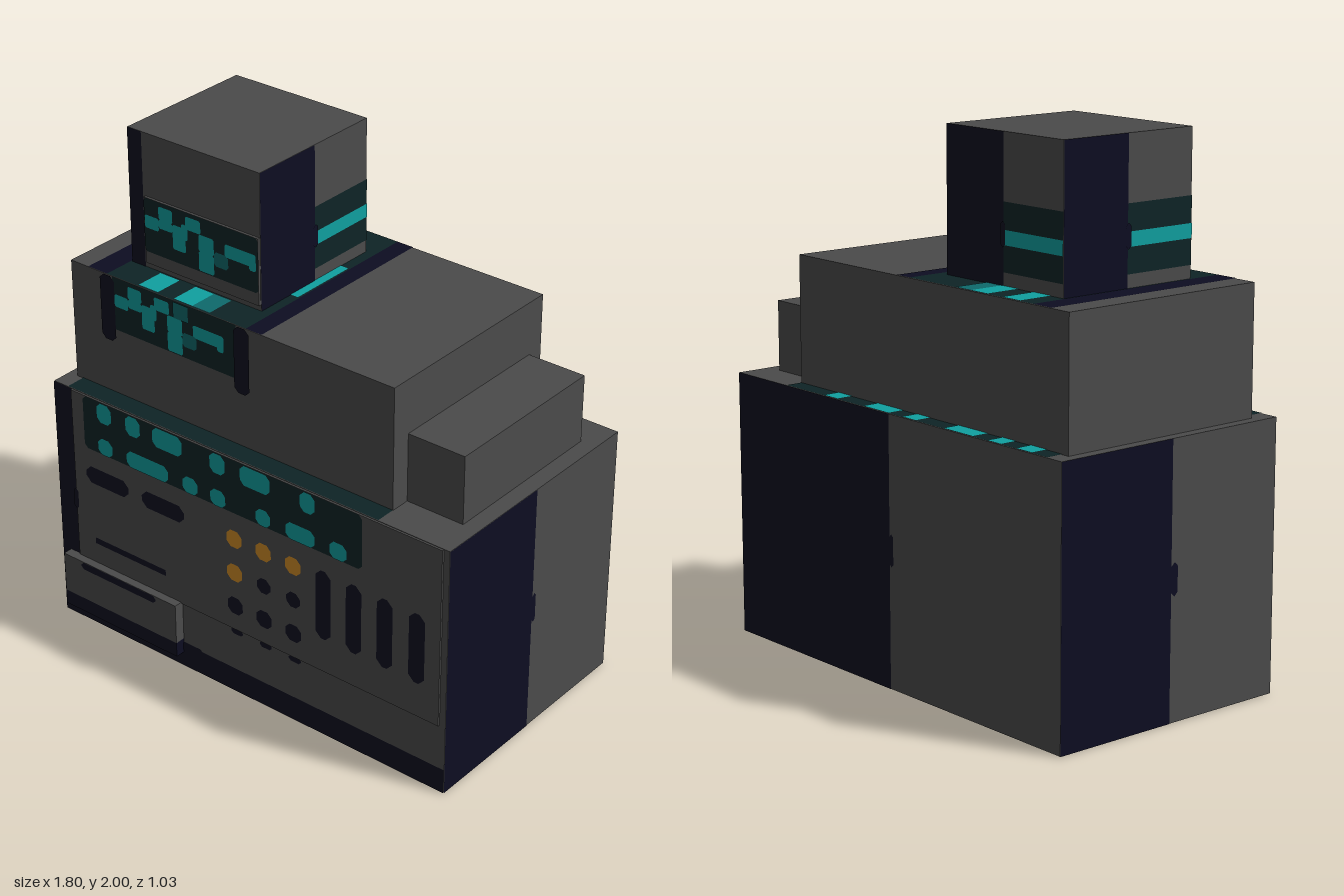
import * as THREE from 'three';

export function createModel() {
  const root = new THREE.Group();
  const mat = (name, color) => {
    const m = new THREE.MeshStandardMaterial({ color });
    m.name = name;
    return m;
  };
  const grey = mat('casing grey', 0x4b4b4b);
  const navy = mat('dark navy', 0x0d0d21);
  const dark = mat('screen dark teal', 0x0e2426);
  const teal = mat('bright teal', 0x10a0a0);
  const mid = mat('mid teal', 0x0e6a6c);
  const orange = mat('lamp orange', 0xcf8b26);

  // Box given by its limits on each axis
  function box(name, m, x0, x1, y0, y1, z0, z1) {
    const mesh = new THREE.Mesh(new THREE.BoxGeometry(x1 - x0, y1 - y0, z1 - z0), m);
    mesh.position.set((x0 + x1) / 2, (y0 + y1) / 2, (z0 + z1) / 2);
    mesh.name = name;
    root.add(mesh);
  }

  // Flat painted patch with cut corners; u, v are world axes of the face, w its level
  const faces = {
    front: [0, 0, (u, v, w) => [u, v, w]],
    back: [0, Math.PI, (u, v, w) => [u, v, w]],
    plusX: [0, Math.PI / 2, (u, v, w) => [w, v, u]],
    minusX: [0, -Math.PI / 2, (u, v, w) => [w, v, u]],
    top: [-Math.PI / 2, 0, (u, v, w) => [u, w, v]],
    bottom: [Math.PI / 2, 0, (u, v, w) => [u, w, v]],
  };
  function patch(name, m, face, w, u0, u1, v0, v1, cut = 0) {
    const a = (u1 - u0) / 2, b = (v1 - v0) / 2, c = Math.min(cut, a, b);
    const pts = c
      ? [[-a + c, -b], [a - c, -b], [a, -b + c], [a, b - c], [a - c, b], [-a + c, b], [-a, b - c], [-a, -b + c]]
      : [[-a, -b], [a, -b], [a, b], [-a, b]];
    const mesh = new THREE.Mesh(new THREE.ShapeGeometry(new THREE.Shape(pts.map(p => new THREE.Vector2(...p)))), m);
    const [rx, ry, place] = faces[face];
    mesh.rotation.set(rx, ry, 0);
    mesh.position.set(...place((u0 + u1) / 2, (v0 + v1) / 2, w));
    mesh.name = name;
    root.add(mesh);
  }

  // Main masses
  box('baseCabinet', grey, -0.9, 0.9, 0, 1, -0.515, 0.474);
  box('upperCabinet', grey, -0.86, 0.6, 1, 1.475, -0.45, 0.394);
  box('sideBox', grey, 0.6, 0.835, 1, 1.265, -0.38, 0.315);
  box('tower', grey, -0.68, -0.08, 1.475, 2, -0.315, 0.265);

  // Navy halves of the base, each with a small bulge on the seam
  patch('frontEdgePaint', navy, 'front', 0.477, -0.9, -0.81, 0, 1);
  patch('frontFootPaint', navy, 'front', 0.477, -0.81, 0.9, 0, 0.1);
  patch('frontEdgeBulge', navy, 'front', 0.485, -0.82, -0.797, 0.49, 0.58, 0.012);
  patch('rightSidePaint', navy, 'plusX', 0.902, -0.02, 0.474, 0, 1);
  patch('rightSideBulge', navy, 'plusX', 0.902, -0.04, -0.02, 0.45, 0.57, 0.014);
  patch('leftSidePaint', navy, 'minusX', -0.902, -0.515, -0.02, 0, 1);
  patch('leftSideBulge', navy, 'minusX', -0.902, -0.02, 0.01, 0.45, 0.57, 0.014);
  patch('backPaint', navy, 'back', -0.517, 0, 0.9, 0, 1);
  patch('backBulge', navy, 'back', -0.517, -0.02, 0, 0.45, 0.57, 0.014);
  patch('undersidePaint', navy, 'bottom', -0.002, -0.9, 0, -0.515, 0.474);
  patch('undersideBulge', navy, 'bottom', -0.002, 0, 0.02, -0.08, 0.04, 0.014);

  // Raised control panel
  const P = 0.482;
  box('controlPanel', grey, -0.81, 0.875, 0.28, 0.998, 0.474, P);
  patch('display', dark, 'front', P + 0.002, -0.75, 0.54, 0.78, 0.998, 0.015);
  for (const [a, b] of [[-0.68, -0.61], [-0.54, -0.47], [-0.41, -0.27], [-0.14, -0.07], [0, 0.135], [0.27, 0.335]])
    patch('displayCell', teal, 'front', P + 0.004, a, b, 0.915, 0.995, 0.018);
  for (const [a, b] of [[-0.68, -0.61], [-0.54, -0.34], [-0.27, -0.2], [-0.14, -0.07], [0.07, 0.135], [0.205, 0.335], [0.4, 0.475]])
    patch('displayCell', teal, 'front', P + 0.004, a, b, 0.78, 0.848, 0.018);
  patch('slot', navy, 'front', P + 0.002, -0.75, -0.54, 0.635, 0.705, 0.024);
  patch('slot', navy, 'front', P + 0.002, -0.475, -0.27, 0.635, 0.705, 0.024);
  patch('groove', navy, 'front', P + 0.002, -0.72, -0.37, 0.372, 0.397);
  for (const x of [0.37, 0.505, 0.64, 0.778])
    patch('vent', navy, 'front', P + 0.002, x - 0.034, x + 0.034, 0.42, 0.705, 0.024);

  // Button grid, the last row half hidden below the panel
  [-0.035, 0.1, 0.235].forEach((x, i) => {
    [0.67, 0.527, 0.385].forEach((y, j) => {
      const lit = j === 0 || (j === 1 && i === 0);
      const r = lit || i === 0 || j === 2 ? 0.035 : 0.031;
      patch('button', lit ? orange : navy, 'front', P + 0.002, x - r, x + r, y - r, y + r, 0.019);
    });
    patch('halfButton', navy, 'front', 0.477, x - 0.028, x + 0.028, 0.255, 0.28, 0.01);
  });

  // Tray on the front
  box('tray', grey, -0.86, -0.3, 0.12, 0.285, 0.474, 0.515);
  box('trayFoot', navy, -0.86, -0.3, 0.06, 0.12, 0.474, 0.515);
  patch('traySlot', navy, 'front', 0.517, -0.77, -0.395, 0.255, 0.284, 0.012);
  patch('trayShade', navy, 'front', 0.477, -0.3, -0.21, 0.095, 0.108, 0.006);

  // Display strips on the ledges of the base
  patch('frontLedgeStrip', dark, 'top', 1.002, -0.83, 0.6, 0.394, 0.473);
  patch('backLedgeStrip', dark, 'top', 1.002, -0.83, 0.6, -0.515, -0.45);
  for (const [a, b] of [[-0.755, -0.675], [-0.6, -0.53], [-0.455, -0.3], [-0.15, -0.075], [0, 0.145], [0.295, 0.375]])
    patch('ledgeCell', teal, 'top', 1.004, a, b, -0.515, -0.45);

  // Trace pattern shared by both small screens: x0, x1, y0, y1 in units of 0.01
  const trace = [[6.5, 13, 14.5, 19.5], [0, 6.5, 9.5, 14.5], [13, 19, 5, 14.5], [6.5, 13, 11, 14.5],
    [19, 26, 14.5, 19.5], [17, 20, 10, 16], [25, 32, 0.5, 8], [25, 32, 8, 14.5], [37, 51, 9.5, 14.5], [48, 51, 8, 11]];
  function screen(x, y, w) {
    for (const [a, b, c, d] of trace)
      patch('screenTrace', teal, 'front', w, x + a / 100, x + b / 100, y + c / 100, y + d / 100, 0.006);
    patch('screenDimTrace', mid, 'front', w, x + 0.32, x + 0.385, y + 0.045, y + 0.1, 0.01);
  }

  // Upper cabinet: front screen between two straps
  patch('cabinetScreen', dark, 'front', 0.396, -0.66, -0.085, 1.265, 1.475);
  screen(-0.65, 1.265, 0.398);
  patch('screenDimTrace', mid, 'front', 0.4, -0.37, -0.3, 1.41, 1.473);
  for (const x of [-0.682, -0.058])
    patch('strap', navy, 'front', 0.4, x - 0.034, x + 0.034, 1.215, 1.475, 0.018);

  // Upper cabinet top: dark field, straps and lit cells around the tower
  const T = 1.477;
  patch('cabinetTopField', dark, 'top', T, -0.685, -0.04, -0.45, 0.394);
  patch('topStrap', navy, 'top', T, -0.775, -0.685, -0.45, 0.394);
  patch('topStrap', navy, 'top', T, -0.04, 0.03, -0.45, 0.394);
  patch('topLight', teal, 'top', T + 0.002, -0.08, -0.045, -0.17, 0.11);
  for (const [a, b, m] of [[-0.62, -0.53, teal], [-0.455, -0.37, teal], [-0.37, -0.29, mid]]) {
    patch('topBackCell', m, 'top', T + 0.002, a, b, -0.45, -0.315);
    patch('topFrontCell', m, 'top', T + 0.002, a + 0.082, b + 0.082, 0.275, 0.388);
  }

  // Tower: raised front screen
  box('towerScreenPlate', grey, -0.605, -0.082, 1.5, 1.757, 0.265, 0.275);
  patch('towerScreen', dark, 'front', 0.277, -0.605, -0.082, 1.548, 1.757, 0.01);
  screen(-0.6, 1.548, 0.279);
  patch('towerFrontPaint', navy, 'front', 0.267, -0.68, -0.615, 1.477, 2);

  // Tower sides: navy half, the other half banded
  const sides = [['plusX', -0.078, -0.025, 0.265, -0.315, -0.025],
    ['minusX', -0.682, -0.315, -0.03, -0.03, 0.265],
    ['back', -0.317, -0.38, -0.08, -0.68, -0.38]];
  for (const [f, w, n0, n1, b0, b1] of sides) {
    const out = f === 'plusX' ? 0.002 : -0.002;
    patch('towerSidePaint', navy, f, w, n0, n1, 1.477, 2);
    patch('towerBand', dark, f, w, b0, b1, 1.525, 1.765);
    patch('towerBandLight', teal, f, w + out, b0, b1, 1.618, 1.67);
    const seam = f === 'plusX' ? n0 : f === 'minusX' ? n1 : n0;
    patch('towerSeamBulge', navy, f, w + out * 2, seam - 0.012, seam + 0.012, 1.61, 1.7, 0.011);
  }
  return root;
}
